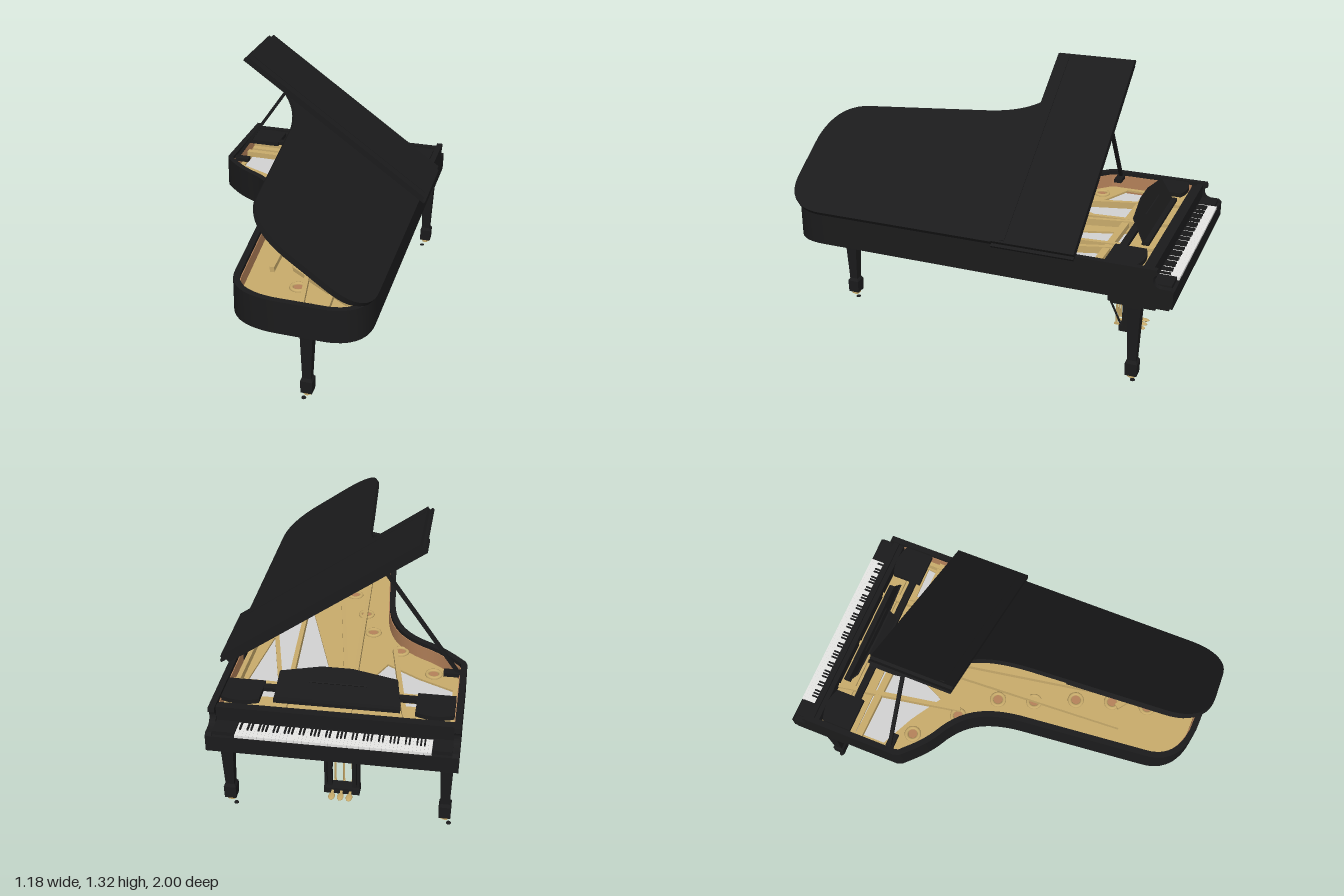
import * as THREE from 'three';
import { mergeGeometries, toCreasedNormals } from 'three/addons/utils/BufferGeometryUtils.js';

const mat = (name, color) => new THREE.MeshStandardMaterial({ name, color });
const black = mat('blackLacquer', 0x1b1b1c);
const gold = mat('goldIron', 0xc8ab6b);
const wood = mat('soundboardWood', 0xb5825a);
const silver = mat('stringSilver', 0xd2d2d2);
const ivory = mat('ivoryKeys', 0xe6e6e4);

export function createModel() {
  const piano = new THREE.Group();
  piano.name = 'grandPiano';

  const add = (name, geo, material, parent = piano) => {
    const m = new THREE.Mesh(geo, material);
    m.name = name;
    parent.add(m);
    return m;
  };
  // box given by its min and max on each axis
  const boxGeo = (x0, x1, y0, y1, z0, z1) =>
    new THREE.BoxGeometry(x1 - x0, y1 - y0, z1 - z0).translate((x0 + x1) / 2, (y0 + y1) / 2, (z0 + z1) / 2);
  const box = (name, material, ...r) => add(name, boxGeo(...r), material);
  // straight bar between two points, optionally turned about its length
  const beam = (name, a, b, w, h, material, roll = 0) => {
    const p = new THREE.Vector3(...a), q = new THREE.Vector3(...b);
    const m = add(name, new THREE.BoxGeometry(w, h, p.distanceTo(q)).rotateZ(roll), material);
    m.position.copy(p).lerp(q, 0.5);
    m.lookAt(q);
    return m;
  };
  // flat plan shape (x, z) made into a slab between two heights
  const slab = (shape, y0, y1) => toCreasedNormals(
    new THREE.ExtrudeGeometry(shape, { depth: y1 - y0, bevelEnabled: false }).rotateX(Math.PI / 2).translate(0, y1, 0), 0.5);
  // square tapered post
  const post = (wTop, wBot, y0, y1) => toCreasedNormals(
    new THREE.CylinderGeometry(wTop / Math.SQRT2, wBot / Math.SQRT2, y1 - y0, 4)
      .rotateY(Math.PI / 4).translate(0, (y0 + y1) / 2, 0), 0.5);

  // Plan outline of the case, from the front of the straight side round to the front of the curved side
  const FRONT = -0.84;
  const path = new THREE.Path();
  path.moveTo(0.545, FRONT);
  path.lineTo(0.545, 0.79);
  path.bezierCurveTo(0.545, 0.91, 0.48, 0.98, 0.36, 0.98);
  path.lineTo(0.12, 0.975);
  path.bezierCurveTo(-0.01, 0.965, -0.1, 0.91, -0.117, 0.79);
  path.lineTo(-0.185, 0.12);
  path.bezierCurveTo(-0.21, -0.08, -0.28, -0.16, -0.38, -0.22);
  path.bezierCurveTo(-0.48, -0.27, -0.53, -0.33, -0.59, -0.39);
  path.lineTo(-0.59, FRONT);
  const outline = path.getSpacedPoints(130);
  const inset = d => outline.map((p, i) => {
    const a = outline[Math.max(i - 1, 0)], b = outline[Math.min(i + 1, outline.length - 1)];
    const t = b.clone().sub(a).normalize();
    return new THREE.Vector2(p.x - t.y * d, p.y + t.x * d);
  });
  const band = (d0, d1) => new THREE.Shape([...inset(d0), ...inset(d1).reverse()]);

  // Case rim and lining
  add('caseRim', slab(band(0, 0.03), 0.465, 0.63), black);
  add('innerRim', slab(band(0.03, 0.034), 0.468, 0.61), wood);

  // Soundboard, strings and iron plate
  const inner = inset(0.032);
  add('soundboard', slab(new THREE.Shape(inner), 0.488, 0.498), wood);
  add('stringBed', slab(new THREE.Shape(inner), 0.505, 0.51), silver);
  const plate = new THREE.Shape(inner);
  const opening = pts => plate.holes.push(new THREE.Path(pts.map(p => new THREE.Vector2(...p))));
  opening([[0.47, -0.68], [0.0, -0.67], [0.08, -0.4], [0.32, 0.33], [0.4, -0.1]]);
  opening([[-0.53, -0.66], [-0.04, -0.66], [-0.2, -0.32], [-0.36, -0.42], [-0.53, -0.5]]);
  add('ironPlate', slab(plate, 0.53, 0.54), gold);
  box('pinBlock', gold, -0.557, 0.512, 0.53, 0.565, -0.84, -0.76);
  box('pinBlockLip', gold, -0.557, 0.512, 0.53, 0.55, -0.76, -0.72);
  beam('plateCrossBar', [-0.55, 0.56, -0.63], [0.51, 0.56, -0.61], 0.035, 0.03, gold);
  [[-0.34, -0.22, -0.2], [-0.08, 0.0, 0.6], [-0.08, 0.22, 0.85], [0.22, 0.34, 0.88], [0.22, 0.46, 0.1], [0.49, 0.47, 0.8]]
    .forEach(([x0, x1, z1]) => beam('plateStrut', [x0, 0.565, -0.84], [x1, 0.55, z1], 0.022, 0.035, gold));
  beam('bassBridge', [0.1, 0.55, 0.55], [0.42, 0.55, 0.78], 0.03, 0.02, gold);

  // Round openings following the curved side
  [[-0.43, -0.38], [-0.25, -0.2], [-0.09, -0.04], [-0.03, 0.14], [0.06, 0.34], [0.12, 0.52], [0.16, 0.7], [0.25, 0.86]]
    .forEach(([x, z]) => {
      add('plateRing', new THREE.TorusGeometry(0.033, 0.01, 8, 24).rotateX(Math.PI / 2), gold).position.set(x, 0.542, z);
      add('plateHole', new THREE.CylinderGeometry(0.024, 0.024, 0.004, 20), wood).position.set(x, 0.541, z);
    });

  // Ridged braces fanned under the soundboard, and dark blocks on the straight side
  [[0.49, 0.1], [0.49, 0.45], [0.46, 0.75], [0.38, 0.92], [0.25, 0.94], [0.12, 0.93], [0, 0.86], [-0.07, 0.7], [-0.11, 0.4], [-0.15, 0.1]]
    .forEach(([x, z]) => beam('bottomBrace', [x * 0.3 - 0.05, 0.488, -0.46], [x, 0.488, z], 0.03, 0.03, wood, Math.PI / 4));
  for (let i = 0; i < 5; i++) box('rimBlock', black, 0.5, 0.512, 0.55, 0.6, -0.4 + i * 0.22, -0.36 + i * 0.22);

  // Key bed, key slip and front rails
  box('keyBed', black, -0.59, 0.545, 0.44, 0.5, -0.985, -0.7);
  box('bottomPanel', black, -0.56, 0.52, 0.466, 0.486, -0.7, -0.46);
  box('keySlip', black, -0.59, 0.545, 0.45, 0.53, -1, -0.985);
  box('fallBoard', black, -0.56, 0.515, 0.5, 0.622, -0.9, -0.87);
  box('frontRail', black, -0.56, 0.515, 0.5, 0.61, -0.87, -0.845);
  box('keyBlock', black, -0.56, -0.472, 0.5, 0.55, -0.985, -0.9);
  box('keyBlock', black, 0.412, 0.515, 0.5, 0.55, -0.985, -0.9);

  // Scooped cheeks at both ends of the keyboard
  const cheek = new THREE.Shape();
  cheek.moveTo(0.84, 0.45);
  cheek.lineTo(1, 0.45);
  cheek.lineTo(1, 0.53);
  cheek.lineTo(0.985, 0.542);
  cheek.lineTo(0.95, 0.542);
  cheek.bezierCurveTo(0.9, 0.54, 0.895, 0.6, 0.925, 0.607);
  cheek.lineTo(0.92, 0.63);
  cheek.lineTo(0.84, 0.63);
  for (const x of [-0.59, 0.515]) {
    add('cheek', toCreasedNormals(new THREE.ExtrudeGeometry(cheek, { depth: 0.03, bevelEnabled: false })
      .rotateY(Math.PI / 2), 0.5), black).position.x = x;
  }

  // Keys, lowest note at the model's left
  const kw = 0.88 / 52, whites = [], blacks = [];
  for (let i = 0; i < 52; i++) {
    const x = 0.41 - i * kw;
    whites.push(boxGeo(x - kw + 0.0005, x, 0.531, 0.545, -0.997, -0.9));
    if (i < 51 && [0, 2, 3, 5, 6].includes(i % 7)) blacks.push(boxGeo(x - kw - 0.0035, x - kw + 0.0035, 0.54, 0.555, -0.953, -0.9));
  }
  add('whiteKeys', mergeGeometries(whites), ivory);
  add('blackKeys', mergeGeometries(blacks), black);

  // Music desk with side shelves
  const desk = new THREE.Shape([[-0.29, 0], [-0.27, 0.12], [-0.06, 0.153], [0.08, 0.153], [0.27, 0.12], [0.29, 0]]
    .map(p => new THREE.Vector2(...p)));
  const deskGroup = new THREE.Group();
  deskGroup.name = 'musicDesk';
  deskGroup.position.set(-0.02, 0.627, -0.79);
  deskGroup.rotation.x = 0.49;
  piano.add(deskGroup);
  add('deskPanel', new THREE.ExtrudeGeometry(desk, { depth: 0.008, bevelEnabled: false }), black, deskGroup);
  add('deskFrameTop', boxGeo(-0.14, 0.14, 0.075, 0.083, 0.008, 0.014), black, deskGroup);
  for (const x of [-0.14, 0.132]) add('deskFrameSide', boxGeo(x, x + 0.008, 0.01, 0.083, 0.008, 0.014), black, deskGroup);
  beam('deskProp', [-0.02, 0.7, -0.755], [-0.02, 0.63, -0.7], 0.26, 0.006, black);
  box('deskRail', black, -0.39, 0.34, 0.605, 0.625, -0.725, -0.69);
  box('deskLedge', black, -0.31, 0.27, 0.61, 0.628, -0.815, -0.78);
  for (const x of [-0.467, 0.422]) {
    const s = new THREE.Shape();
    s.moveTo(-0.088, -0.67);
    s.lineTo(-0.088, -0.82);
    s.quadraticCurveTo(0, -0.86, 0.088, -0.82);
    s.lineTo(0.088, -0.67);
    add('deskShelf', slab(s, 0.605, 0.627), black).position.x = x;
  }

  // Raised lid, hinged along the straight side
  const HX = 0.56, lid = new THREE.Group();
  lid.name = 'lid';
  lid.position.set(HX, 0.64, 0);
  lid.rotation.z = -0.614;
  piano.add(lid);
  const lidShape = (zMin, xLeft, grow) => new THREE.Shape([
    new THREE.Vector2(0.545 + grow - HX, zMin),
    ...inset(-grow).filter(p => p.y > zMin).map(p => new THREE.Vector2((p.x - HX) * 0.985, p.y * 1.007)),
    new THREE.Vector2((xLeft - grow - HX) * 0.985, zMin)]);
  add('mainLid', slab(lidShape(-0.54, -0.59, 0.013), -0.022, 0), black, lid);
  add('lidUnderside', slab(lidShape(0.3, -0.167, 0.002), -0.036, -0.022), black, lid);
  add('foldedFlap', boxGeo(-1.14, 0.01, 0.003, 0.03, -0.545, -0.14), black, lid);
  add('flapMoulding', boxGeo(-1.157, 0.026, 0.0, 0.012, -0.545, -0.14), black, lid);
  add('flapBead', boxGeo(-1.13, 0, 0.03, 0.034, -0.205, -0.185), black, lid);

  // Lid prop
  beam('lidProp', [-0.55, 0.61, -0.45], [-0.18, 1.15, -0.45], 0.018, 0.016, black);
  box('propSocket', black, -0.56, -0.48, 0.595, 0.615, -0.47, -0.43);

  // Legs with casters and floor cups
  for (const [x, z] of [[-0.535, -0.82], [0.495, -0.82], [0.235, 0.8]]) {
    const leg = new THREE.Group();
    leg.name = 'leg';
    leg.position.set(x, 0, z);
    piano.add(leg);
    add('legBlock', boxGeo(-0.034, 0.034, 0.41, 0.47, -0.034, 0.034), black, leg);
    add('legShaft', post(0.064, 0.042, 0.125, 0.41), black, leg);
    add('legFlare', post(0.042, 0.059, 0.115, 0.13), black, leg);
    add('legFoot', post(0.059, 0.056, 0.05, 0.115), black, leg);
    add('casterCollar', new THREE.CylinderGeometry(0.024, 0.024, 0.012, 16).translate(0, 0.045, 0), gold, leg);
    add('caster', new THREE.CylinderGeometry(0.016, 0.016, 0.012, 16).translate(-0.003, 0.036, 0), gold, leg);
    add('floorCup', new THREE.CylinderGeometry(0.011, 0.012, 0.004, 16).translate(-0.02, 0.002, 0), black, leg);
    if (z < 0) add('legBracket', boxGeo(-0.036, 0.036, 0.422, 0.44, -0.1, 0.11), black, leg);
    else add('legMount', boxGeo(-0.12, 0.12, 0.466, 0.488, -0.04, 0.04), black, leg);
  }

  // Pedal lyre
  const LX = -0.022;
  box('lyreTop', black, LX - 0.088, LX + 0.088, 0.41, 0.45, -0.69, -0.64);
  box('lyreBase', black, LX - 0.088, LX + 0.088, 0.008, 0.04, -0.695, -0.635);
  for (const s of [-1, 1]) {
    box('lyrePost', black, LX + s * 0.06 - 0.01, LX + s * 0.06 + 0.01, 0.03, 0.42, -0.68, -0.65);
    box('lyrePost', black, LX + s * 0.081 - 0.006, LX + s * 0.081 + 0.006, 0.03, 0.42, -0.68, -0.65);
    beam('lyreBrace', [LX + s * 0.062, 0.03, -0.64], [LX + s * 0.062, 0.468, -0.435], 0.008, 0.008, black);
  }
  for (const dx of [-0.043, 0, 0.043]) {
    const x = LX + dx;
    add('pedalRod', new THREE.CylinderGeometry(0.005, 0.005, 0.45, 8), gold).position.set(x, 0.242, -0.61);
    box('pedalLever', gold, x - 0.006, x + 0.006, 0.018, 0.028, -0.73, -0.6);
    add('pedal', new THREE.SphereGeometry(0.018, 16, 8).scale(0.9, 0.4, 1.6), gold).position.set(x, 0.023, -0.735);
  }
  return piano;
}
